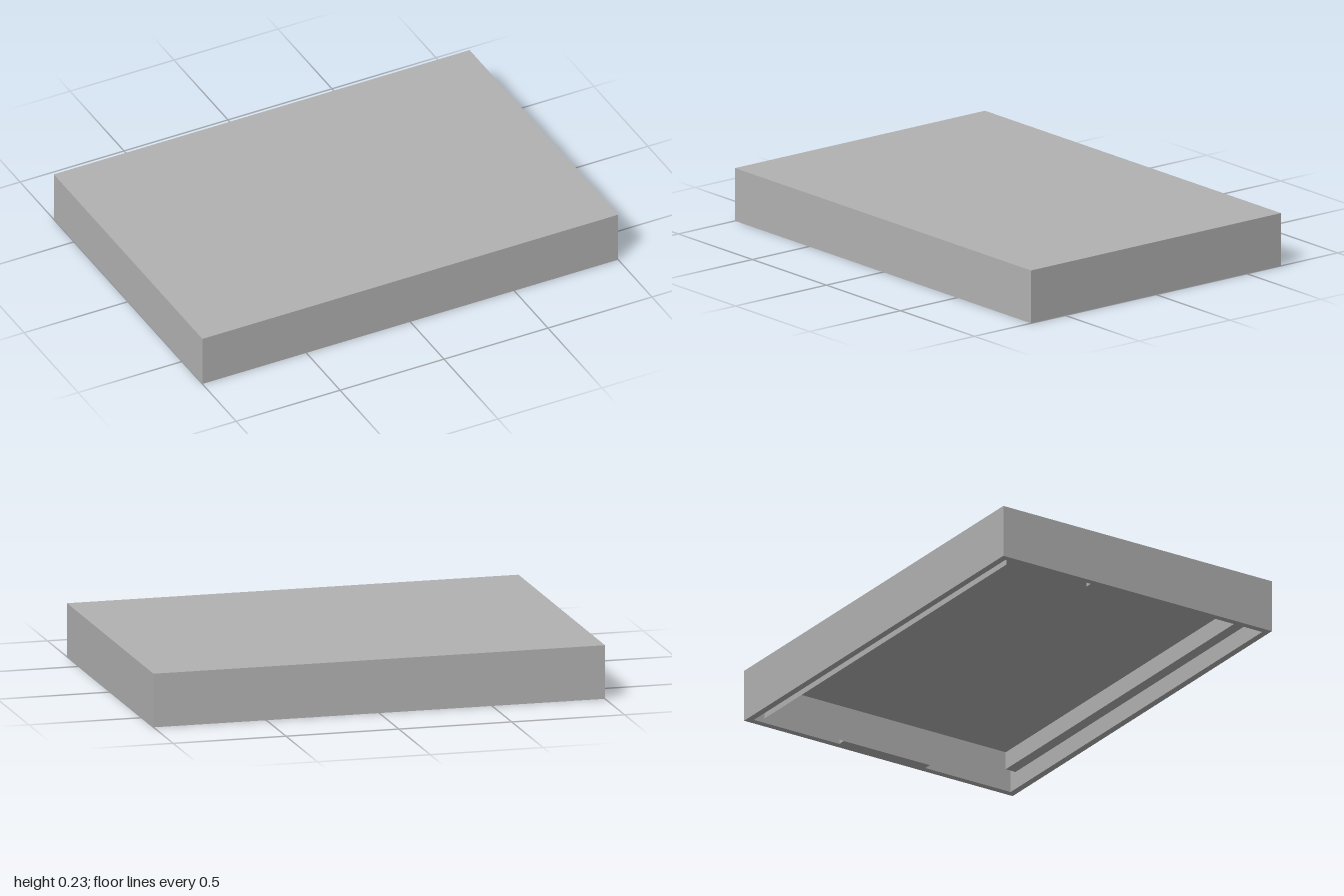
import * as THREE from 'three';

export function createModel() {
  const model = new THREE.Group();
  const grey = new THREE.MeshStandardMaterial({ color: 0xb2b2b2 });

  const X = 1, Z = 0.688, H = 0.235; // outer half sizes and height
  const wall = 0.03;                 // skirt thickness
  const ceiling = 0.16;              // underside of the top slab
  const ix = X - 0.067, iz = Z - 0.08; // inner recess half sizes

  function add(name, geometry, x, y, z, turn = 0) {
    const mesh = new THREE.Mesh(geometry, grey);
    mesh.name = name;
    mesh.position.set(x, y, z);
    mesh.rotation.y = turn;
    model.add(mesh);
  }
  // Box given by its width, depth and vertical range
  function slab(name, w, d, y0, y1, x, z) {
    add(name, new THREE.BoxGeometry(w, y1 - y0, d), x, (y0 + y1) / 2, z);
  }

  slab('topSlab', 2 * X, 2 * Z, ceiling, H, 0, 0);

  for (const s of [1, -1]) {
    // Outer skirt
    slab('longSkirt', 2 * X, wall, 0, ceiling, 0, s * (Z - wall / 2));
    slab('shortSkirt', wall, 2 * (Z - wall), 0, ceiling, s * (X - wall / 2), 0);

    // Stepped ledge under the top, along the long sides
    slab('longLedge', 2 * ix, Z - wall - iz, 0.08, ceiling, 0, s * (Z - wall + iz) / 2);

    // Lip of the narrow channel behind each long skirt, facing outward
    add('longLip', new THREE.PlaneGeometry(2 * ix, 0.08),
      0, 0.04, s * (Z - 0.06), s > 0 ? 0 : Math.PI);

    // Panels lining the short ends, facing inward
    add('endPanel', new THREE.PlaneGeometry(2 * iz, ceiling),
      s * ix, ceiling / 2, 0, -s * Math.PI / 2);

    // Central tab joining each end panel to the skirt
    const tab = X - wall - ix - 0.002;
    slab('endTab', tab, 0.44, 0, ceiling, s * (X - wall - tab / 2), 0);
  }
  return model;
}
